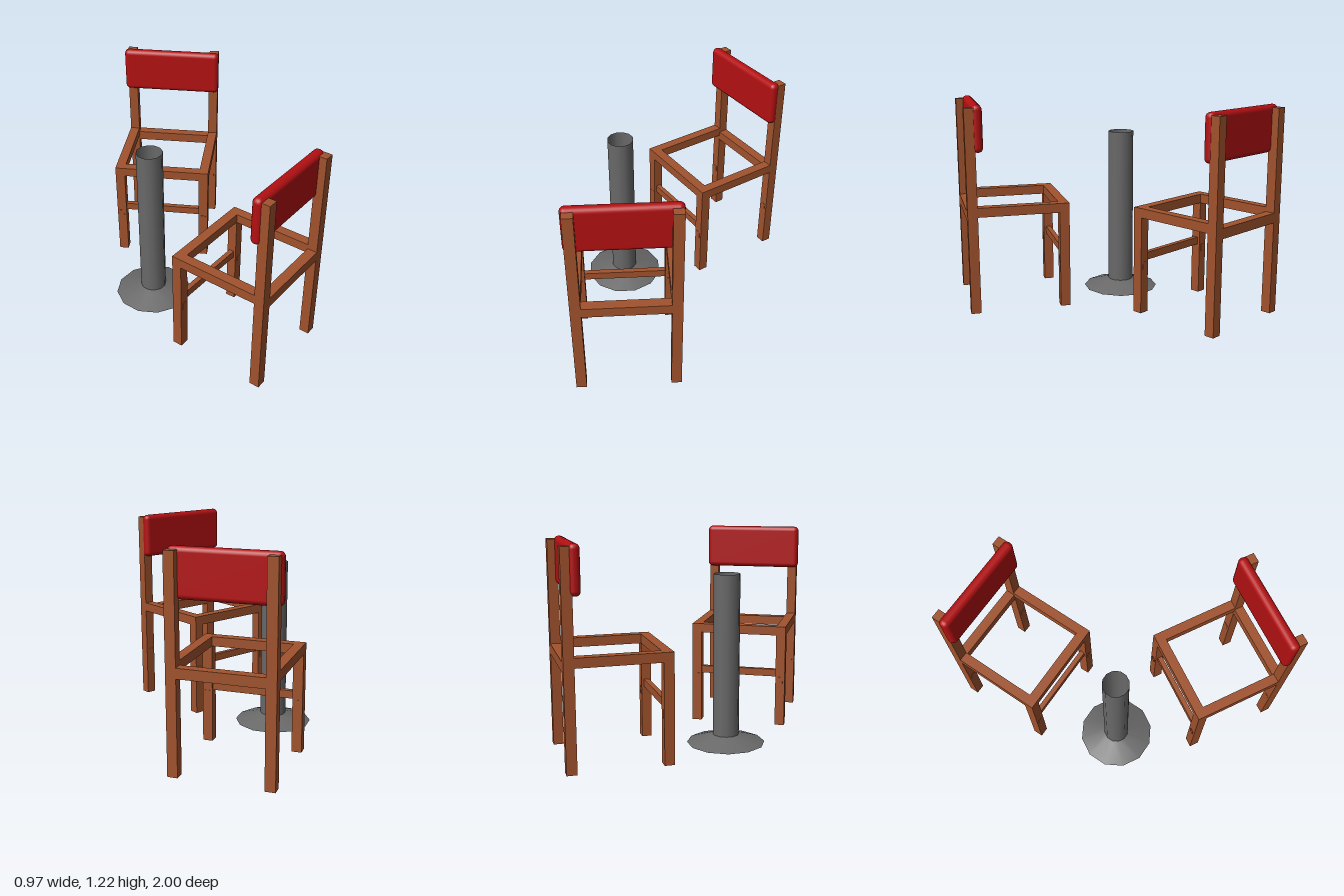
import * as THREE from 'three';
import { RoundedBoxGeometry } from 'three/addons/geometries/RoundedBoxGeometry.js';

const wood = new THREE.MeshStandardMaterial({ color: 0xa0522d });
wood.name = 'wood';
const red = new THREE.MeshStandardMaterial({ color: 0xb31012 });
red.name = 'red upholstery';
const grey = new THREE.MeshStandardMaterial({ color: 0x696969, side: THREE.DoubleSide });
grey.name = 'grey metal';

const SIZE = 0.59;              // outer width and depth of a chair
const T = 0.058;                // timber thickness
const C = (SIZE - T) / 2;       // leg centre offset
const SPAN = SIZE - 2 * T;      // clear distance between legs

// Wooden bar given its size, bottom height and centre
function bar(name, w, h, d, x, bottom, z) {
  const mesh = new THREE.Mesh(new THREE.BoxGeometry(w, h, d), wood);
  mesh.name = name;
  mesh.position.set(x, bottom + h / 2, z);
  return mesh;
}

// Chair with its backrest towards local +z
function createChair(name) {
  const chair = new THREE.Group();
  chair.name = name;
  for (const s of [-1, 1]) {
    chair.add(bar('frontLeg', T, 0.63, T, s * C, 0, -C));
    chair.add(bar('backPost', T, 1.2, T, s * C, 0, C));
    chair.add(bar('sideRail', T, 0.055, SPAN, s * C, 0.575, 0));
    // Tenon ends showing on the legs
    chair.add(bar('frontTenon', 0.03, 0.045, T + 0.004, s * C, 0.265, -C));
    chair.add(bar('backTenon', 0.03, 0.045, 0.004, s * C, 0.265, C - T / 2));
  }
  chair.add(bar('frontRail', SPAN, 0.055, T, 0, 0.575, -C));
  chair.add(bar('backRail', SPAN, 0.058, T, 0, 0.545, C));
  chair.add(bar('frontStretcher', SPAN, 0.045, 0.03, 0, 0.31, -C));

  // Padded backrest
  const pad = new THREE.Mesh(new RoundedBoxGeometry(0.608, 0.27, 0.06, 3, 0.028), red);
  pad.name = 'backrestPad';
  pad.position.set(-0.003, 1.08, 0.222);
  chair.add(pad);
  return chair;
}

// Open twelve-sided tube on a shallow flared foot
function createPedestal() {
  const pedestal = new THREE.Group();
  pedestal.name = 'pedestal';
  const parts = {
    pedestalFoot: [[0.23, 0], [0.077, 0.05]],
    pedestalTube: [[0.077, 0.05], [0.077, 1]],
  };
  for (const [name, profile] of Object.entries(parts)) {
    const points = profile.map(([r, y]) => new THREE.Vector2(r, y));
    const mesh = new THREE.Mesh(new THREE.LatheGeometry(points, 12, Math.PI / 12), grey);
    mesh.name = name;
    pedestal.add(mesh);
  }
  pedestal.position.x = -0.263;
  return pedestal;
}

export function createModel() {
  const model = new THREE.Group();
  model.name = 'chairsAndPedestal';
  // Two chairs mirrored about z = 0, both facing the pedestal
  for (const s of [1, -1]) {
    const chair = createChair(s > 0 ? 'frontChair' : 'rearChair');
    chair.position.set(0.08, 0, s * 0.597);
    chair.rotation.y = s > 0 ? Math.PI / 6 : Math.PI * 5 / 6;
    // Keep the slight pad offset mirrored
    chair.getObjectByName('backrestPad').position.x *= s;
    model.add(chair);
  }
  model.add(createPedestal());
  return model;
}
